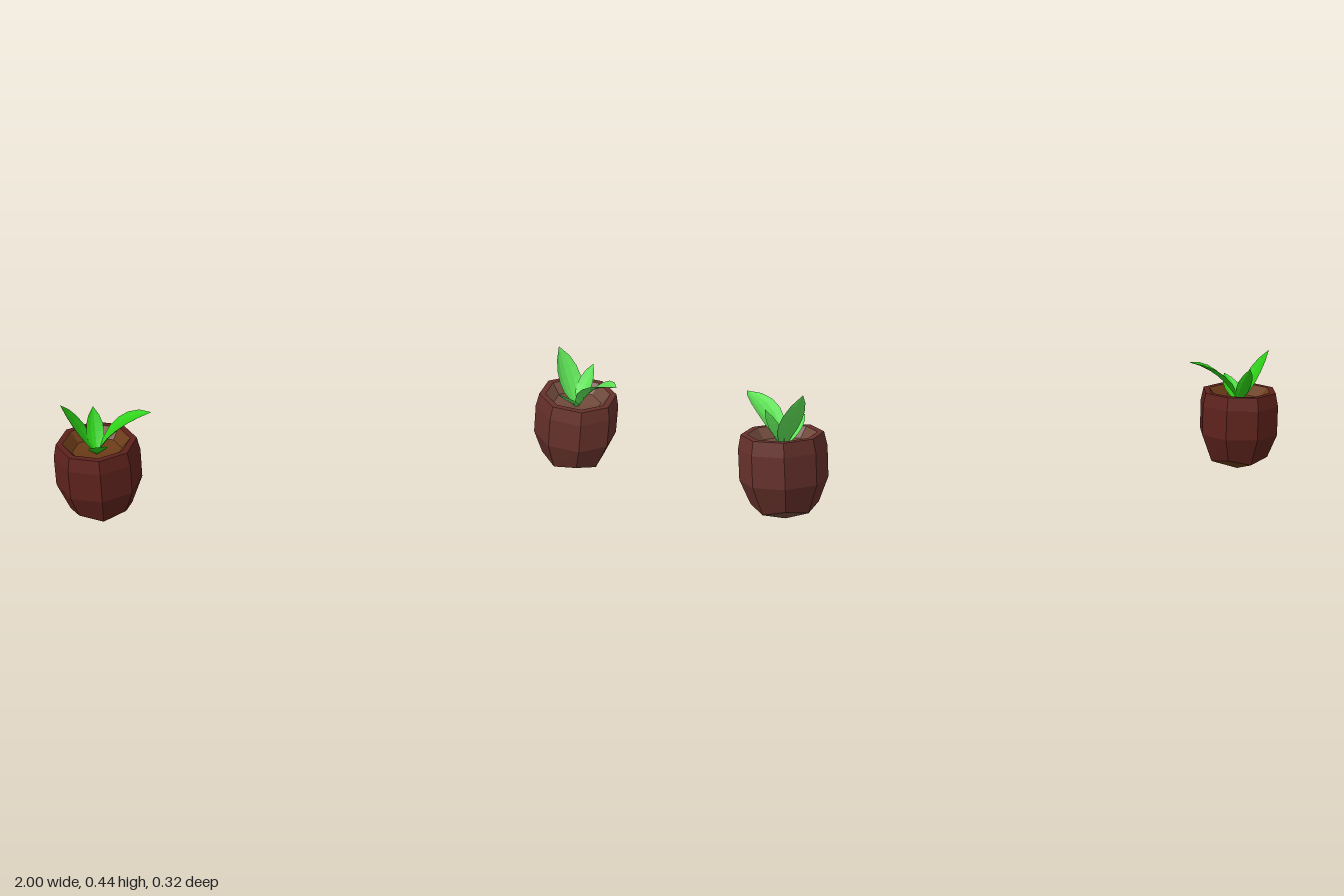
import * as THREE from 'three';

// Bends a small plane into a folded, pointed leaf along a curve from the soil to the tip
function leafGeometry([tx, ty, tz], [cx, cy, cz], halfWidth) {
  const curve = new THREE.QuadraticBezierCurve3(
    new THREE.Vector3(0, 0.25, 0), new THREE.Vector3(cx, cy, cz), new THREE.Vector3(tx, ty, tz));
  const side = new THREE.Vector3(-tz, 0, tx).normalize();
  const outline = [0.25, 0.55, 0.88, 1, 0.92, 0.62, 0];
  const rows = outline.length - 1;
  const geometry = new THREE.PlaneGeometry(2, 1, 4, rows);
  const pos = geometry.attributes.position;
  for (let i = 0; i < pos.count; i++) {
    const u = pos.getX(i);
    const t = pos.getY(i) + 0.5;
    const w = outline[Math.round(t * rows)] * halfWidth;
    const normal = new THREE.Vector3().crossVectors(curve.getTangent(t), side).normalize();
    if (normal.y < 0) normal.negate();
    const p = curve.getPoint(t).addScaledVector(side, u * w).addScaledVector(normal, (u * u - 0.4) * w * 0.3);
    pos.setXYZ(i, p.x, p.y, p.z);
  }
  geometry.computeVertexNormals();
  return geometry;
}

// Joins eight-sided rings (radius, height as functions of the corner index) into a shell
function ringShell(rings) {
  const points = [];
  const index = [];
  for (const ring of rings) {
    for (let i = 0; i < 8; i++) {
      const [r, y] = ring(i);
      const a = (i * Math.PI) / 4;
      points.push(r * Math.cos(a), y, r * Math.sin(a));
    }
  }
  for (let j = 0; j < rings.length - 1; j++) {
    for (let i = 0; i < 8; i++) {
      const a = j * 8 + i;
      const b = j * 8 + ((i + 1) % 8);
      index.push(a, a + 8, b, b, a + 8, b + 8);
    }
  }
  const geometry = new THREE.BufferGeometry();
  geometry.setAttribute('position', new THREE.Float32BufferAttribute(points, 3));
  geometry.setIndex(index);
  geometry.computeVertexNormals();
  return geometry;
}

const ring = (r, y) => () => [r, y];
// The lowest ring alternates, so the underside falls into four diamond facets
const lowRing = (i) => (i % 2 ? [0.113, 0.058] : [0.106, 0.04]);

// Tip, bend point and half width of each leaf
const LEAVES = {
  longLeaf: [[0.19, 0.41, 0.033], [0.06, 0.385, 0.01], 0.048],
  tallLeaf: [[-0.11, 0.443, -0.012], [-0.045, 0.325, -0.005], 0.05],
  shortLeaf: [[0.004, 0.34, 0.114], [0.002, 0.29, 0.05], 0.032],
  backLeaf: [[0, 0.392, -0.076], [0, 0.31, -0.035], 0.03],
};

function pottedPlant(colors) {
  const plant = new THREE.Group();
  const material = (color) =>
    new THREE.MeshStandardMaterial({ color, flatShading: true, side: THREE.DoubleSide });
  const add = (name, geometry, mat) => {
    const mesh = new THREE.Mesh(geometry, mat);
    mesh.name = name;
    plant.add(mesh);
  };
  const clay = material(colors.pot);
  const earth = material(colors.soil);
  const green = material(colors.leaf);

  // Pot wall and rim
  add('pot', ringShell([lowRing, ring(0.147, 0.143), ring(0.147, 0.25),
    ring(0.137, 0.298), ring(0.115, 0.298)]), clay);
  // Underside
  add('potBase', ringShell([ring(0, 0.003), lowRing]), earth);
  // Sunken soil
  add('soil', ringShell([ring(0.115, 0.298), ring(0.085, 0.262), ring(0, 0.25)]), earth);
  // Leaves
  for (const [name, [tip, bend, width]] of Object.entries(LEAVES)) {
    add(name, leafGeometry(tip, bend, width), green);
  }
  return plant;
}

export function createModel() {
  const model = new THREE.Group();
  model.name = 'pottedPlants';

  const right = pottedPlant({ pot: 0x5e221c, soil: 0x6b3c18, leaf: 0x2cd016 });
  right.name = 'rightPlant';
  right.position.set(-0.853, 0, 0.004);

  const left = pottedPlant({ pot: 0x66312b, soil: 0x704a3c, leaf: 0x60e658 });
  left.name = 'leftPlant';
  left.position.set(0.853, 0, -0.014);
  left.rotation.y = THREE.MathUtils.degToRad(-57);

  model.add(right, left);
  return model;
}
